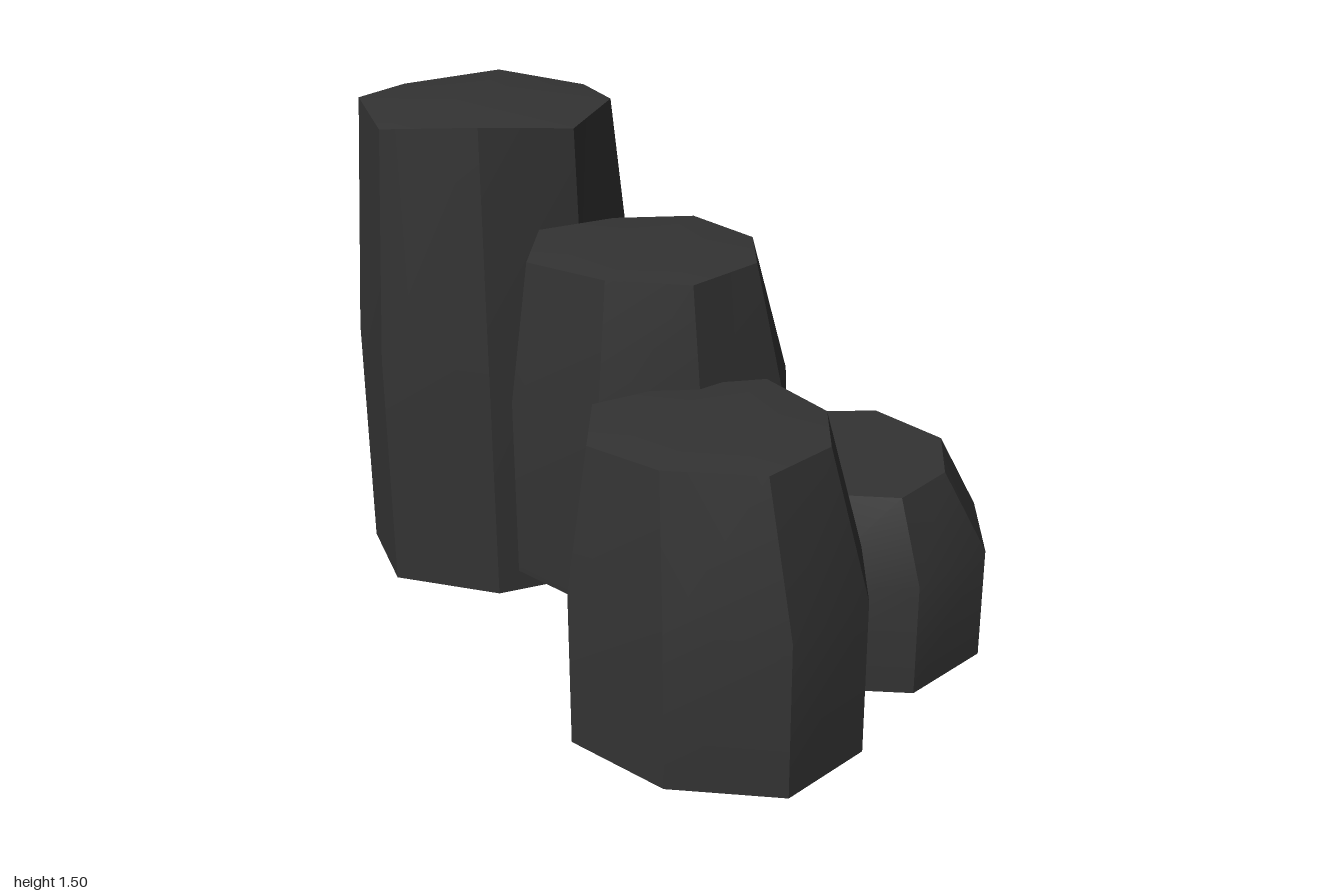
import * as THREE from 'three';
import { toCreasedNormals } from 'three/addons/utils/BufferGeometryUtils.js';

// Each column: outline at the waist and at the rim as [x, z] corners, clockwise seen from above.
const COLUMNS = [
  {
    name: 'tallColumn', base: 0, waistY: 0.74, rimY: [1.445, 1.468], peak: 1.5,
    waist: [[-0.64, -1], [-0.3, -1], [-0.03, -0.81], [-0.005, -0.5], [-0.23, -0.275], [-0.53, -0.25], [-0.815, -0.445], [-0.835, -0.755]],
    rim: [[-0.62, -0.955], [-0.32, -0.955], [-0.09, -0.78], [-0.08, -0.5], [-0.245, -0.295], [-0.52, -0.3], [-0.775, -0.45], [-0.79, -0.74]],
  },
  {
    name: 'middleColumn', base: 0.21, waistY: 0.75, rimY: [1.165, 1.175], peak: 1.19,
    waist: [[-0.1, -0.39], [0.16, -0.28], [0.31, -0.015], [0.205, 0.27], [-0.07, 0.365], [-0.345, 0.285], [-0.515, -0.005], [-0.4, -0.25]],
    rim: [[-0.13, -0.3], [0.09, -0.22], [0.2, -0.015], [0.13, 0.22], [-0.08, 0.31], [-0.3, 0.23], [-0.46, 0], [-0.37, -0.23]],
  },
  {
    name: 'frontColumn', base: 0, waistY: 0.46, rimY: [0.875, 0.883], peak: 0.9,
    waist: [[-0.51, 0.585], [-0.4, 0.31], [-0.1, 0.2], [0.17, 0.3], [0.315, 0.58], [0.22, 0.86], [-0.04, 0.995], [-0.335, 0.86]],
    rim: [[-0.45, 0.585], [-0.375, 0.36], [-0.13, 0.29], [0.12, 0.34], [0.205, 0.57], [0.13, 0.79], [-0.07, 0.885], [-0.32, 0.79]],
  },
  {
    name: 'shortColumn', base: 0, waistY: 0.34, rimY: [0.57, 0.576], peak: 0.585,
    waist: [[0.365, -0.175], [0.67, -0.04], [0.83, 0.23], [0.73, 0.51], [0.465, 0.645], [0.185, 0.53], [0.03, 0.23], [0.13, -0.05]],
    rim: [[0.38, -0.08], [0.6, 0], [0.71, 0.225], [0.62, 0.445], [0.445, 0.545], [0.2, 0.45], [0.09, 0.22], [0.17, -0.01]],
  },
];

function columnGeometry({ base, waistY, rimY, peak, waist, rim }) {
  const n = waist.length;
  const centre = (ring) => ring.reduce((s, p) => [s[0] + p[0] / n, s[1] + p[1] / n], [0, 0]);
  const [wx, wz] = centre(waist);
  const [rx, rz] = centre(rim);
  const positions = [];

  // Rings from the foot up, the rim slightly uneven
  waist.forEach(([x, z]) => positions.push(x, base, z));
  waist.forEach(([x, z]) => positions.push(x, waistY, z));
  rim.forEach(([x, z], i) => positions.push(x, rimY[i % 2], z));
  positions.push(wx, base, wz, rx, peak, rz);

  const index = [];
  for (let i = 0; i < n; i++) {
    const j = (i + 1) % n;
    // Sides
    for (const r of [0, n]) {
      index.push(r + j, r + i, r + n + i, r + j, r + n + i, r + n + j);
    }
    // Underside and shallow peaked top
    index.push(3 * n, i, j, 3 * n + 1, 2 * n + j, 2 * n + i);
  }
  const geometry = new THREE.BufferGeometry();
  geometry.setAttribute('position', new THREE.Float32BufferAttribute(positions, 3));
  geometry.setIndex(index);
  return toCreasedNormals(geometry, 0.45);
}

export function createModel() {
  const group = new THREE.Group();
  group.name = 'rockColumns';
  const stone = new THREE.MeshStandardMaterial({ color: 0x333333 });
  for (const column of COLUMNS) {
    const mesh = new THREE.Mesh(columnGeometry(column), stone);
    mesh.name = column.name;
    group.add(mesh);
  }
  return group;
}
